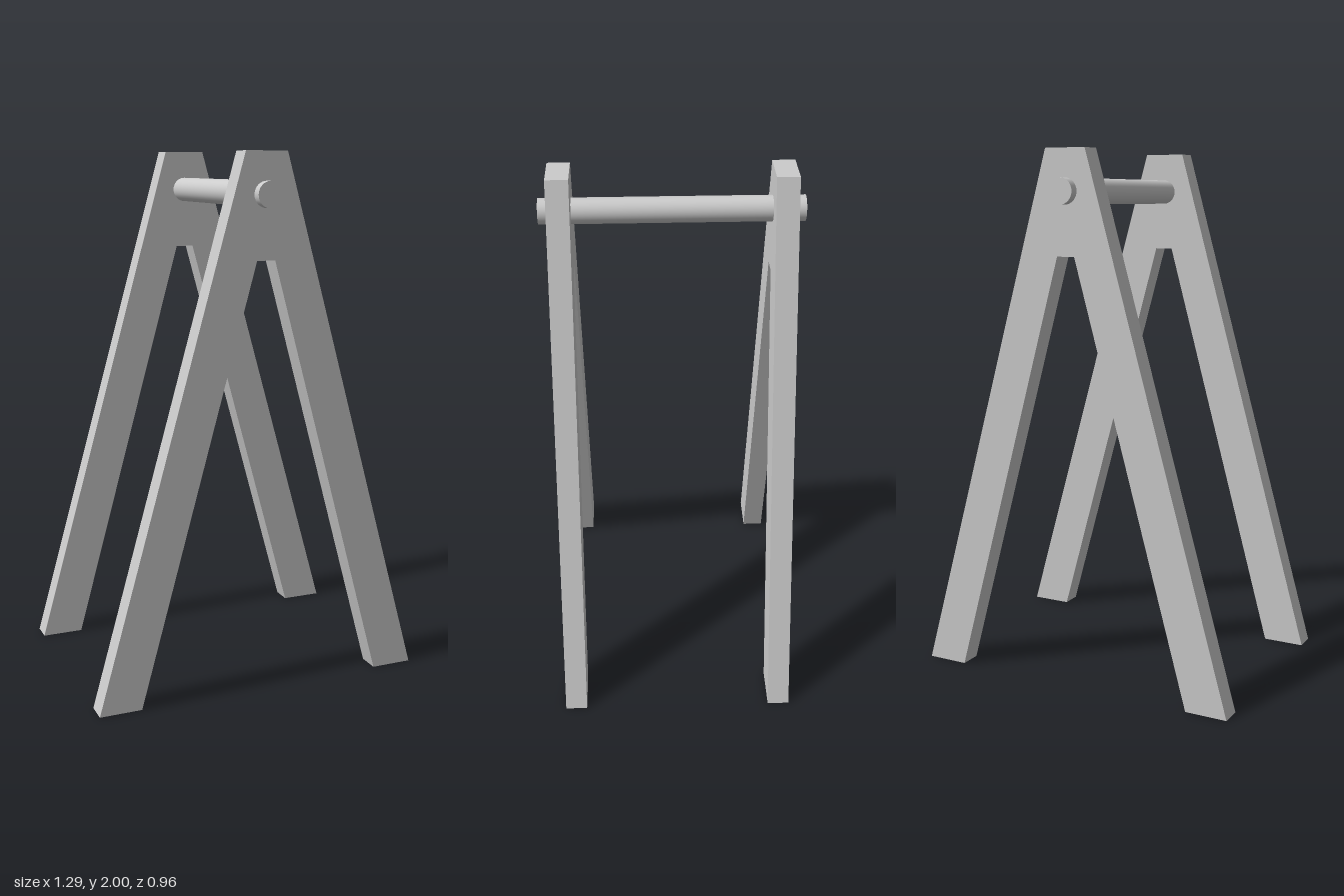
import * as THREE from 'three';

const FRAME_Z = 0.402, FRAME_DEPTH = 0.083;
const ROD_RADIUS = 0.047, ROD_LENGTH = 0.957, ROD_Y = 1.85;

// Right half of the A-frame outline, from the top down and back up the inside
const HALF = [[0.08, 2], [0.645, 0], [0.484, 0], [0.035, 1.62]];

export function createModel() {
  const group = new THREE.Group();
  const material = new THREE.MeshStandardMaterial({ color: 0xcccccc });

  // A-frames: mirrored outline, extruded and centred on its depth
  const mirrored = HALF.map(([x, y]) => [-x, y]).reverse();
  const outline = new THREE.Shape([...HALF, ...mirrored].map(([x, y]) => new THREE.Vector2(x, y)));
  const frameGeometry = new THREE.ExtrudeGeometry(outline, { depth: FRAME_DEPTH, bevelEnabled: false });
  frameGeometry.translate(0, 0, -FRAME_DEPTH / 2);

  for (const [name, side] of [['frontFrame', 1], ['backFrame', -1]]) {
    const frame = new THREE.Mesh(frameGeometry, material);
    frame.name = name;
    frame.position.z = side * FRAME_Z;
    group.add(frame);
  }

  // Crossbar passing through both frames
  const rodGeometry = new THREE.CylinderGeometry(ROD_RADIUS, ROD_RADIUS, ROD_LENGTH, 32);
  rodGeometry.rotateX(Math.PI / 2);
  const rod = new THREE.Mesh(rodGeometry, material);
  rod.name = 'crossbar';
  rod.position.y = ROD_Y;
  group.add(rod);

  return group;
}
